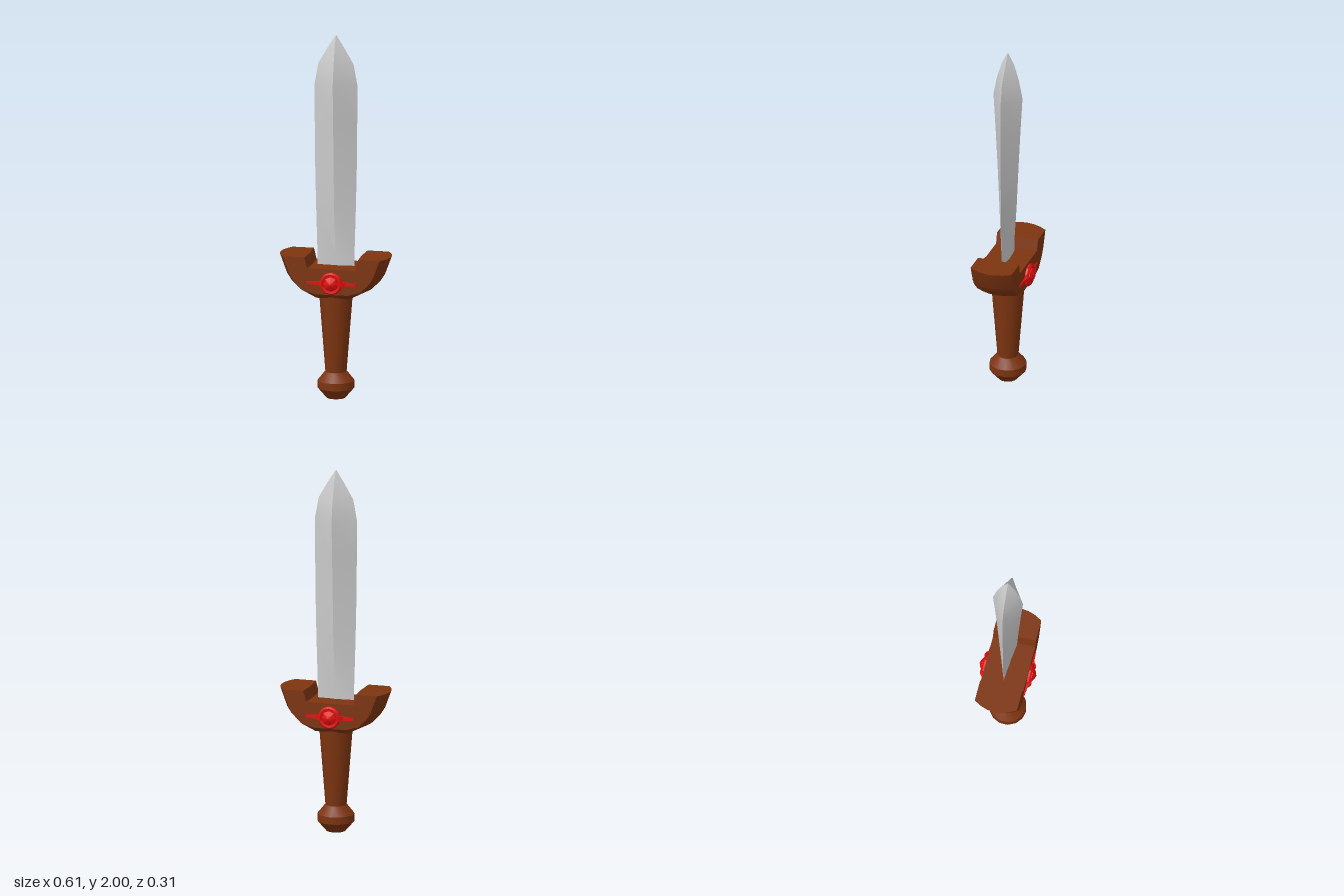
import * as THREE from 'three';
import { toCreasedNormals } from 'three/addons/utils/BufferGeometryUtils.js';

const steel = new THREE.MeshStandardMaterial({ color: 0xcccccc });
const wood = new THREE.MeshStandardMaterial({ color: 0x7d3410 });
const red = new THREE.MeshStandardMaterial({ color: 0xe01010 });

const pts = (list) => list.map(([x, y]) => new THREE.Vector2(x, y));

function part(name, geometry, material, crease = 0.5) {
  const mesh = new THREE.Mesh(toCreasedNormals(geometry, crease), material);
  mesh.name = name;
  return mesh;
}

// Moves every vertex of a geometry by a rule
function reshape(geometry, rule) {
  const p = geometry.attributes.position;
  const v = new THREE.Vector3();
  for (let i = 0; i < p.count; i++) {
    v.fromBufferAttribute(p, i);
    rule(v, i);
    p.setXYZ(i, v.x, v.y, v.z);
  }
  return geometry;
}

// Diamond-section blade: height, half width, half thickness
function makeBlade() {
  const rows = [
    [0.7, 0.1, 0.006], [0.8, 0.102, 0.015], [1.07, 0.11, 0.05], [1.3, 0.115, 0.06],
    [1.52, 0.117, 0.071], [1.73, 0.117, 0.083], [1.84, 0.097, 0.062],
    [1.93, 0.045, 0.035], [2, 0, 0],
  ];
  const geo = new THREE.LatheGeometry(pts(rows.map(([y, w]) => [w, y])), 4);
  reshape(geo, (v, i) => {
    const [, w, t] = rows[i % rows.length];
    if (w > 0) v.z *= t / w;
  });
  return part('blade', geo, steel, 0.45);
}

// U-shaped guard with bowed ends and bevelled underside
function makeGuard() {
  const half = [
    [0.09, 0.562], [0.2, 0.61], [0.245, 0.655], [0.268, 0.69], [0.305, 0.79],
    [0.145, 0.79], [0.13, 0.73],
  ];
  const outline = [...half, ...half.map(([x, y]) => [-x, y]).reverse()];
  const depth = 0.234;
  const geo = new THREE.ExtrudeGeometry(new THREE.Shape(pts(outline)), {
    depth, steps: 6, bevelEnabled: false,
  });
  geo.translate(0, 0, -depth / 2);
  reshape(geo, (v) => {
    const k = Math.abs(v.z) / (depth / 2);
    const ax = Math.abs(v.x);
    if (ax > 0.19) v.x -= Math.sign(v.x) * 0.04 * k * k;
    else if (ax > 0.1) v.x += Math.sign(v.x) * 0.006 * (k - 0.5);
    if (k > 0.9 && v.y < 0.6) v.y = 0.59;
  });
  return part('guard', geo, wood);
}

// Round gem in a collar with a tapering wing on each side
function makeOrnament() {
  const group = new THREE.Group();
  group.name = 'gemOrnament';
  const collar = new THREE.LatheGeometry(
    pts([[0.062, 0], [0.062, 0.014], [0.054, 0.022], [0.042, 0.02], [0.038, 0.01]]), 12);
  const gem = new THREE.LatheGeometry(pts([[0.042, 0], [0.04, 0.024], [0.022, 0.035], [0, 0.043]]), 8);
  for (const g of [collar, gem]) g.rotateX(Math.PI / 2);
  group.add(part('collar', collar, red), part('gem', gem, red, 0.3));

  const profile = pts([
    [0.035, 0], [0.14, 0], [0.135, 0.007], [0.075, 0.012], [0.057, 0.026], [0.047, 0.028], [0.038, 0.018],
  ]);
  const wing = new THREE.ExtrudeGeometry(new THREE.Shape(profile), { depth: 0.028, bevelEnabled: false });
  wing.rotateX(Math.PI / 2).translate(0, 0.014, 0);
  reshape(wing, (v) => { v.y *= v.x > 0.1 ? 0.5 : v.x > 0.06 ? 0.7 : 1; });
  for (const side of [0, 1]) {
    const mesh = part('wing', wing, red);
    mesh.rotation.z = side * Math.PI;
    group.add(mesh);
  }
  return group;
}

export function createModel() {
  const model = new THREE.Group();
  model.name = 'dagger';
  model.add(makeBlade(), makeGuard());

  // Tapered grip and faceted pommel
  const grip = new THREE.CylinderGeometry(0.091, 0.056, 0.45, 14);
  grip.translate(0, 0.355, 0);
  const pommel = new THREE.LatheGeometry(
    pts([[0, 0], [0.052, 0], [0.1, 0.055], [0.1, 0.095], [0.06, 0.145], [0, 0.145]]), 14);
  model.add(part('grip', grip, wood), part('pommel', pommel, wood));

  // The same ornament on front and back
  for (const turn of [0, Math.PI]) {
    const ornament = makeOrnament();
    ornament.position.set(0, 0.653, turn ? -0.114 : 0.114);
    ornament.rotation.y = turn;
    model.add(ornament);
  }
  return model;
}
